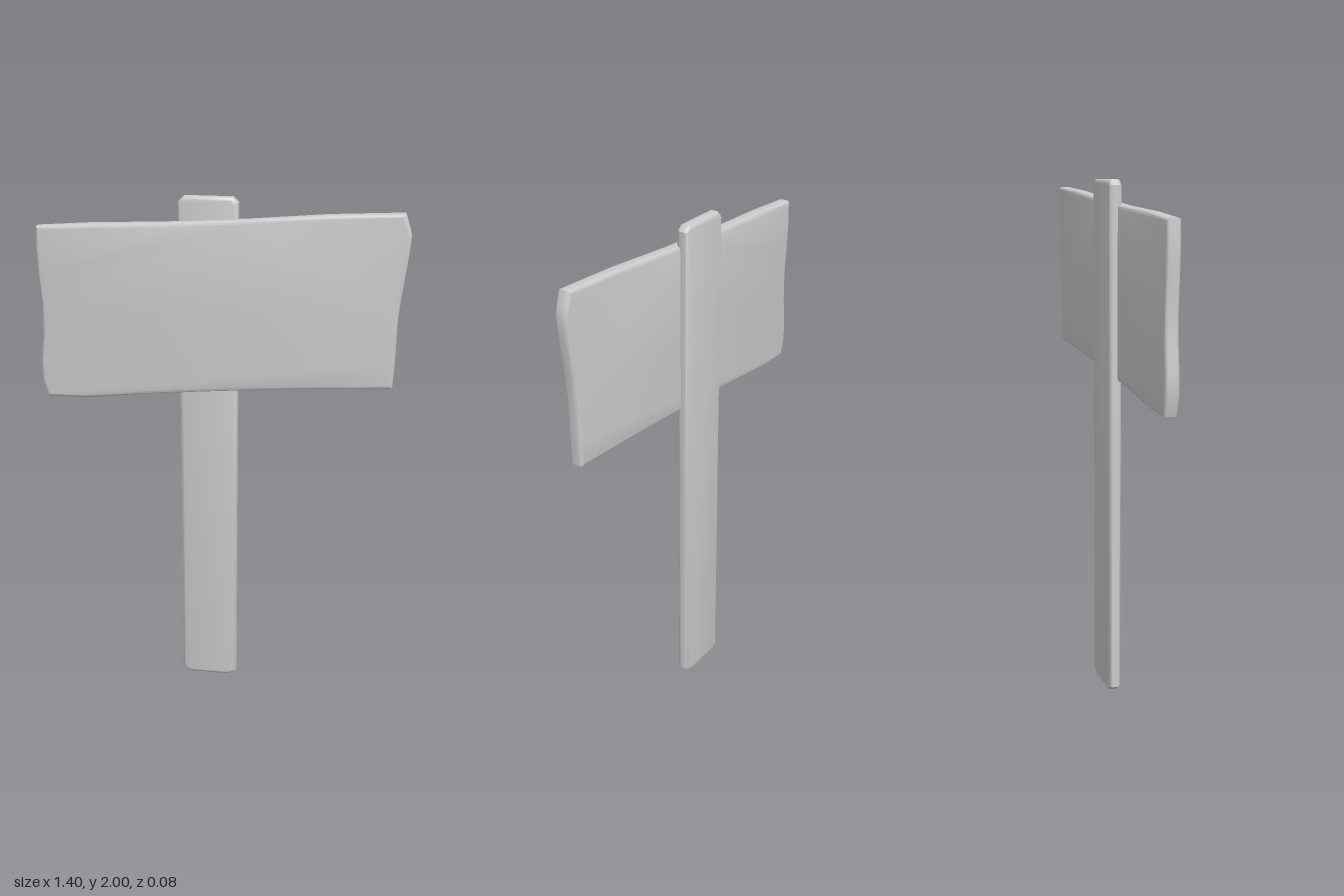
import * as THREE from 'three';
import { toCreasedNormals } from 'three/addons/utils/BufferGeometryUtils.js';

const material = new THREE.MeshStandardMaterial({ color: 0xcccccc });

// A plank cut to an outline, with softened edges, from z = back to z = front
function plank(name, outline, back, front, bevelSize, bevelThickness) {
  const shape = new THREE.Shape(outline.map(([x, y]) => new THREE.Vector2(x, y)));
  const geometry = new THREE.ExtrudeGeometry(shape, {
    depth: front - back - 2 * bevelThickness,
    bevelEnabled: true,
    bevelSize,
    bevelThickness,
    bevelOffset: -bevelSize,
    bevelSegments: 3,
  });
  geometry.translate(0, 0, back + bevelThickness);
  const mesh = new THREE.Mesh(toCreasedNormals(geometry, 0.7), material);
  mesh.name = name;
  return mesh;
}

export function createModel() {
  const group = new THREE.Group();
  group.name = 'signpost';

  // Upright post with clipped corners
  const post = [
    [-0.13, 0], [0.035, 0], [0.065, 0.02], [0.065, 1.98],
    [0.045, 2], [-0.14, 2], [-0.16, 1.98], [-0.16, 0.02],
  ];
  group.add(plank('post', post, -0.042, 0.006, 0.014, 0.014));

  // Tilted board with wavy ends, counter-clockwise from the lower left
  const board = [
    [-0.68, 1.213], [-0.53, 1.213], [-0.25, 1.244], [0, 1.266], [0.3, 1.288], [0.655, 1.31],
    [0.66, 1.4], [0.663, 1.57], [0.672, 1.66], [0.69, 1.8], [0.697, 1.885], [0.69, 1.91], [0.673, 1.963],
    [0.4, 1.95], [0.1, 1.925], [-0.2, 1.906], [-0.5, 1.894], [-0.695, 1.88],
    [-0.7, 1.8], [-0.695, 1.7], [-0.685, 1.57], [-0.688, 1.46], [-0.7, 1.36], [-0.7, 1.28],
  ];
  group.add(plank('board', board, -0.012, 0.04, 0.013, 0.012));

  return group;
}
